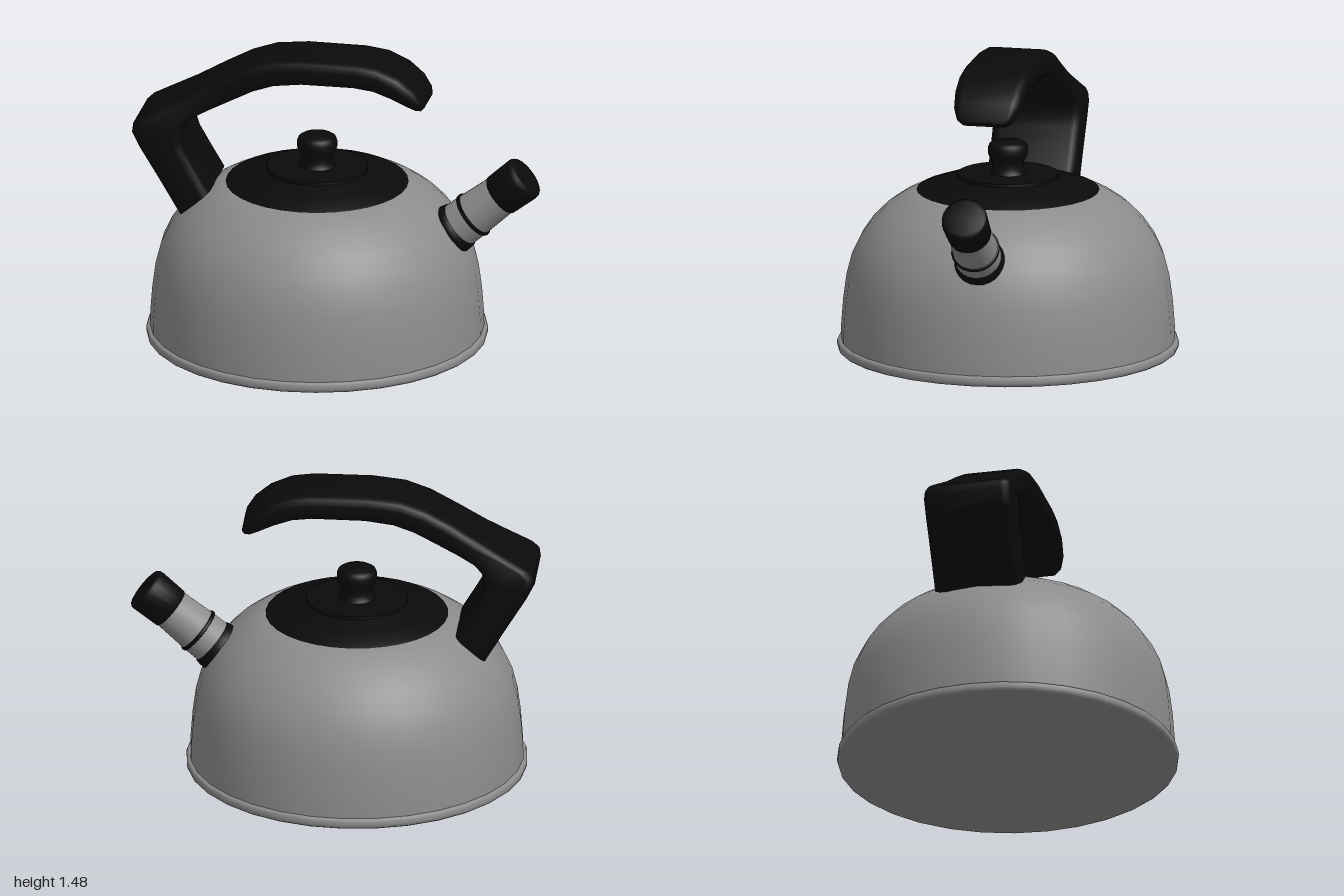
import * as THREE from 'three';
import { toCreasedNormals } from 'three/addons/utils/BufferGeometryUtils.js';

const steel = new THREE.MeshStandardMaterial({ color: 0x8c8c8c });
const black = new THREE.MeshStandardMaterial({ color: 0x0a0a0a });

// Turned part from [radius, height] pairs, listed bottom to top
function turned(name, profile, material, segments = 32) {
  const points = profile.map(([r, y]) => new THREE.Vector2(r, y));
  const geometry = toCreasedNormals(new THREE.LatheGeometry(points, segments), 0.9);
  const mesh = new THREE.Mesh(geometry, material);
  mesh.name = name;
  return mesh;
}

// Rounded rectangle in (u, z), counter-clockwise
function roundedSection(halfU, halfZ, radius) {
  const r = Math.min(radius, halfU * 0.9, halfZ * 0.9);
  const corners = [[1, 1], [-1, 1], [-1, -1], [1, -1]];
  const section = [];
  corners.forEach(([su, sz], c) => {
    for (let k = 0; k <= 4; k++) {
      const a = (c + k / 4) * Math.PI / 2;
      section.push([su * (halfU - r) + r * Math.cos(a), sz * (halfZ - r) + r * Math.sin(a)]);
    }
  });
  return section;
}

// Loft through stations [innerX, innerY, outerX, outerY, halfWidth]
function loft(stations, radius) {
  const positions = [], index = [];
  let n = 0;
  for (const [ix, iy, ox, oy, w] of stations) {
    const cx = (ix + ox) / 2, cy = (iy + oy) / 2;
    const length = Math.hypot(ox - ix, oy - iy);
    const ux = (ox - ix) / length, uy = (oy - iy) / length;
    const section = roundedSection(length / 2, w, radius);
    n = section.length;
    for (const [u, z] of section) positions.push(cx + ux * u, cy + uy * u, z);
  }
  const last = (stations.length - 1) * n;
  for (let s = 0; s < last; s += n) {
    for (let i = 0; i < n; i++) {
      const j = (i + 1) % n;
      index.push(s + i, s + j, s + n + j, s + i, s + n + j, s + n + i);
    }
  }
  for (let i = 1; i < n - 1; i++) {
    index.push(0, i + 1, i, last, last + i, last + i + 1);
  }
  const geometry = new THREE.BufferGeometry();
  geometry.setAttribute('position', new THREE.Float32BufferAttribute(positions, 3));
  geometry.setIndex(index);
  return toCreasedNormals(geometry, 1);
}

export function createModel() {
  const model = new THREE.Group();
  model.name = 'kettle';

  // Round vessel, base rim and lid share one axis
  const vessel = new THREE.Group();
  vessel.name = 'vessel';
  vessel.position.x = -0.11;
  vessel.add(
    turned('body', [
      [0.82, 0.03], [0.818, 0.12], [0.808, 0.25], [0.792, 0.37], [0.765, 0.475],
      [0.725, 0.56], [0.67, 0.64], [0.6, 0.71], [0.52, 0.765], [0.45, 0.8], [0, 0.81],
    ], steel),
    turned('baseRim', [
      [0, 0], [0.825, 0], [0.835, 0.007], [0.838, 0.02], [0.838, 0.038],
      [0.833, 0.048], [0.822, 0.051], [0.8, 0.051],
    ], steel),
    turned('lid', [
      [0.4, 0.795], [0.452, 0.798], [0.44, 0.806], [0.35, 0.838], [0.262, 0.863],
      [0.25, 0.867], [0.248, 0.882], [0, 0.885],
    ], black),
    turned('lidKnob', [
      [0.095, 0.88], [0.085, 0.89], [0.076, 0.915], [0.078, 0.945], [0.092, 0.965],
      [0.099, 0.985], [0.099, 1.01], [0.092, 1.03], [0.075, 1.041], [0, 1.043],
    ], black),
  );
  model.add(vessel);

  // Handle: wide post on the right, narrowing into an arched grip
  const handle = new THREE.Mesh(loft([
    [-0.612, 0.77, -0.758, 0.645, 0.22],
    [-0.675, 0.875, -0.865, 0.825, 0.22],
    [-0.733, 0.975, -0.96, 0.98, 0.22],
    [-0.75, 1.025, -1.0, 1.06, 0.22],
    [-0.747, 1.075, -0.995, 1.1, 0.217],
    [-0.735, 1.11, -0.965, 1.13, 0.212],
    [-0.7, 1.145, -0.885, 1.175, 0.2],
    [-0.62, 1.185, -0.74, 1.255, 0.183],
    [-0.5, 1.245, -0.59, 1.345, 0.174],
    [-0.4, 1.297, -0.46, 1.415, 0.174],
    [-0.3, 1.332, -0.34, 1.457, 0.174],
    [-0.16, 1.35, -0.18, 1.475, 0.174],
    [0.1, 1.352, 0.11, 1.475, 0.174],
    [0.2, 1.34, 0.22, 1.46, 0.174],
    [0.29, 1.307, 0.325, 1.415, 0.172],
    [0.36, 1.272, 0.4, 1.355, 0.162],
    [0.405, 1.25, 0.44, 1.295, 0.14],
    [0.428, 1.242, 0.448, 1.262, 0.11],
  ], 0.045), black);
  handle.name = 'handle';
  model.add(handle);

  // Spout: tilted stack of collar, tube, ring and whistle cap
  const spout = new THREE.Group();
  spout.name = 'spout';
  spout.position.set(0.575, 0.6, -0.008);
  spout.rotation.z = -THREE.MathUtils.degToRad(50.3);
  spout.add(
    turned('spoutCollar', [
      [0.11, -0.06], [0.126, -0.02], [0.125, 0.01], [0.12, 0.034], [0.108, 0.044],
    ], black, 24),
    turned('spoutTube', [[0.116, 0], [0.113, 0.12], [0.102, 0.31]], steel, 24),
    turned('spoutRing', [
      [0.108, 0.112], [0.119, 0.115], [0.121, 0.123], [0.119, 0.131], [0.108, 0.134],
    ], black, 24),
    turned('whistleCap', [
      [0, 0.295], [0.1, 0.295], [0.108, 0.303], [0.114, 0.44], [0.112, 0.456],
      [0.104, 0.466], [0.09, 0.47], [0, 0.471],
    ], black, 24),
  );
  model.add(spout);

  return model;
}
